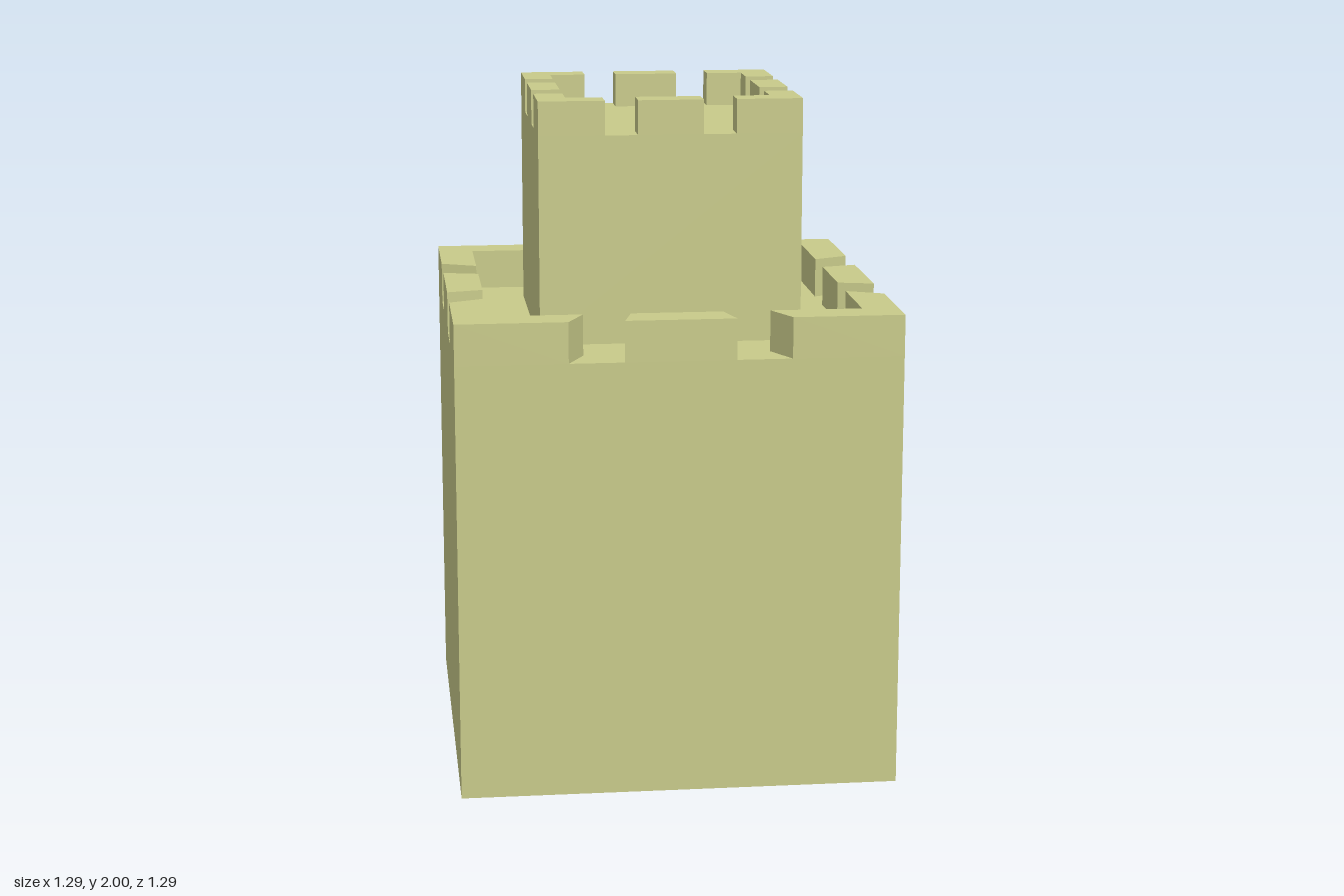
import * as THREE from 'three';

export function createModel() {
  const stone = new THREE.MeshStandardMaterial({ color: 0xc8ca8a });
  stone.name = 'sandstone';
  const wood = new THREE.MeshStandardMaterial({ color: 0xcb5c0e });
  wood.name = 'orange door';

  const model = new THREE.Group();
  model.name = 'castleKeep';

  const W = 0.643, DECK = 1.29, RECESS = 0.04; // lower tower half width, deck height, door depth
  const T = 0.383, ROOF = 1.9;                 // upper tower half width and roof height

  const add = (parent, name, geometry, material, x = 0, y = 0, z = 0) => {
    const mesh = new THREE.Mesh(geometry, material);
    mesh.name = name;
    mesh.position.set(x, y, z);
    parent.add(mesh);
    return mesh;
  };
  const shapeOf = (pts) => new THREE.Shape(pts.map(([x, y]) => new THREE.Vector2(x, y)));
  const extrude = (shape, depth) => new THREE.ExtrudeGeometry(shape, { depth, bevelEnabled: false });

  // Lower tower: core block plus a door-side wall slab with the opening cut out
  add(model, 'lowerTower', new THREE.BoxGeometry(2 * W - RECESS, DECK, 2 * W), stone, -RECESS / 2, DECK / 2, 0);
  const wall = shapeOf([[-W, 0], [W, 0], [W, DECK], [-W, DECK]]);
  wall.holes.push(shapeOf([[-0.165, 0.004], [-0.174, 0.46], [0.16, 0.46], [0.16, 0.004]]));
  add(model, 'doorWall', extrude(wall, RECESS).rotateY(Math.PI / 2), stone, W - RECESS, 0, 0);

  // Recessed door panel
  add(model, 'door', new THREE.BoxGeometry(0.004, 0.458, 0.338), wood, W - RECESS + 0.002, 0.232, 0.006);

  // Upper tower
  add(model, 'upperTower', new THREE.BoxGeometry(2 * T, ROOF - DECK, 2 * T), stone, 0, (ROOF + DECK) / 2, 0);

  // Battlements: L-shaped corner and middle merlon, repeated on four sides.
  // a, b: gap edges on the outer face; ai, bi: the same on the inner face
  const battlement = (name, out, inn, a, b, ai, bi, y, height) => {
    const ring = new THREE.Group();
    ring.name = name;
    const corner = extrude(shapeOf([[out, out], [b, out], [bi, inn], [inn, inn], [inn, bi], [out, b]]), height);
    const middle = extrude(shapeOf([[a, out], [-a, out], [-ai, inn], [ai, inn]]), height);
    corner.rotateX(-Math.PI / 2);
    middle.rotateX(-Math.PI / 2);
    for (let i = 0; i < 4; i++) {
      add(ring, 'cornerMerlon', corner, stone, 0, y, 0).rotation.y = i * Math.PI / 2;
      add(ring, 'middleMerlon', middle, stone, 0, y, 0).rotation.y = i * Math.PI / 2;
    }
    model.add(ring);
  };
  battlement('lowerBattlement', W, 0.537, 0.16, 0.32, 0.133, 0.27, DECK, 0.12);
  battlement('upperBattlement', T, 0.298, 0.095, 0.191, 0.095, 0.191, ROOF, 0.1);

  return model;
}
